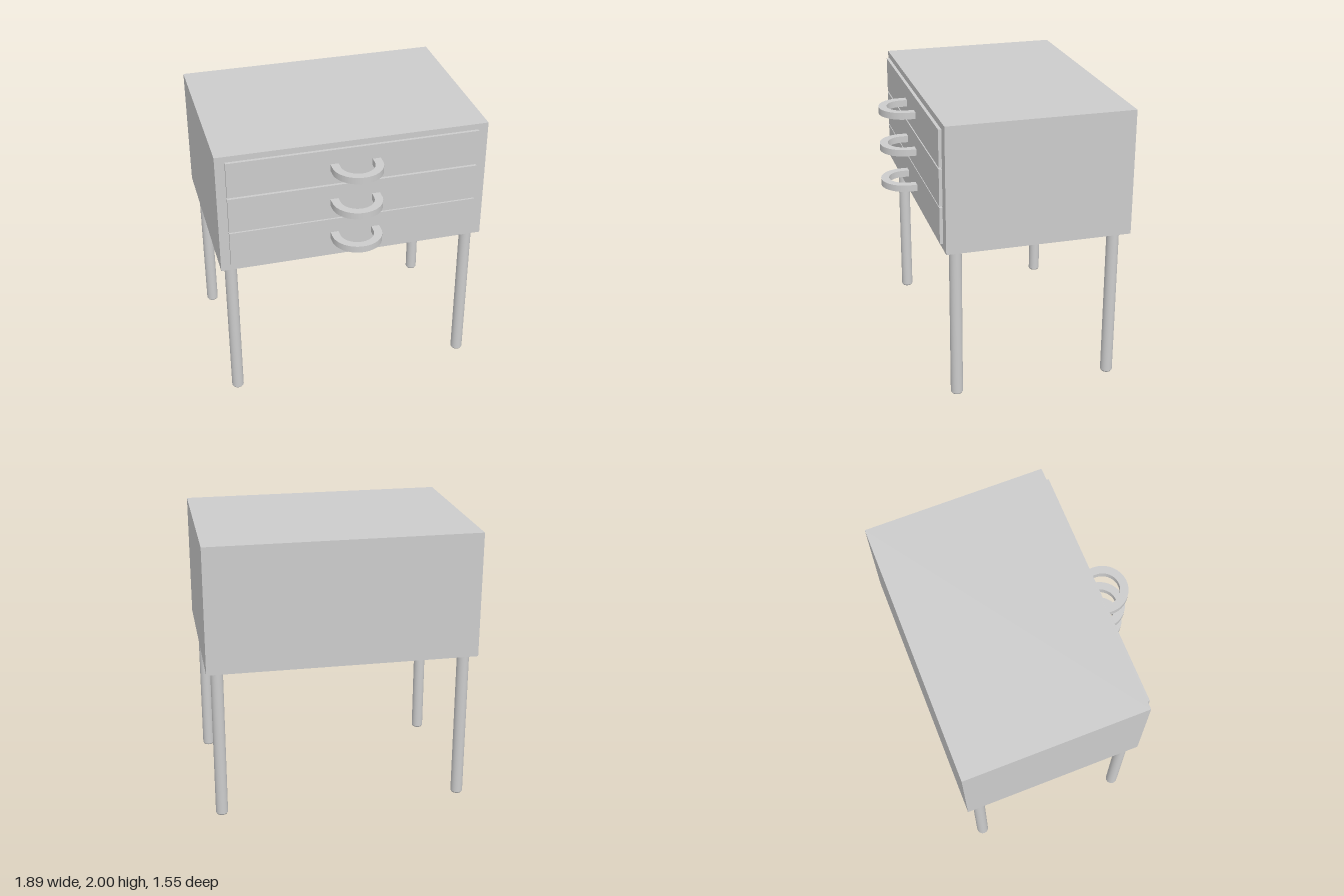
import * as THREE from 'three';
import { mergeGeometries } from 'three/addons/utils/BufferGeometryUtils.js';

const grey = new THREE.MeshStandardMaterial({ color: 0xcccccc });

function add(parent, geometry, name, x = 0, y = 0, z = 0) {
  const mesh = new THREE.Mesh(geometry, grey);
  mesh.name = name;
  mesh.position.set(x, y, z);
  parent.add(mesh);
  return mesh;
}

// Box without its +z face, optionally turned inside out
function openBox(w, h, d, z, inward = false) {
  const g = new THREE.BoxGeometry(w, h, d).translate(0, 0, z);
  let index = Array.from(g.index.array).filter((_, i) => i < 24 || i >= 30);
  if (inward) {
    index.reverse();
    const n = g.attributes.normal;
    for (let i = 0; i < n.count; i++) n.setXYZ(i, -n.getX(i), -n.getY(i), -n.getZ(i));
  }
  g.setIndex(index);
  return g;
}

function rect(target, w, h) {
  return target.moveTo(-w / 2, -h / 2).lineTo(w / 2, -h / 2)
    .lineTo(w / 2, h / 2).lineTo(-w / 2, h / 2).closePath();
}

// Hollow cabinet: outer shell, front rim and inner cavity
function cabinetGeometry(w, h, d, holeW, holeH, holeD) {
  const rim = rect(new THREE.Shape(), w, h);
  rim.holes.push(rect(new THREE.Path(), holeW, holeH));
  return mergeGeometries([
    openBox(w, h, d, -d / 2),
    openBox(holeW, holeH, holeD, -holeD / 2, true),
    new THREE.ShapeGeometry(rim),
  ]);
}

// Flat U-shaped pull, lying level and reaching towards +z
function handleGeometry(outer, inner, straight, thick) {
  const s = new THREE.Shape();
  s.moveTo(outer, 0).lineTo(outer, straight);
  s.absarc(0, straight, outer, 0, Math.PI, false);
  s.lineTo(-outer, 0).lineTo(-inner, 0).lineTo(-inner, straight);
  s.absarc(0, straight, inner, Math.PI, 0, true);
  s.lineTo(inner, 0);
  return new THREE.ExtrudeGeometry(s, { depth: thick, bevelEnabled: false, curveSegments: 24 })
    .rotateX(Math.PI / 2).translate(0, thick / 2, 0);
}

export function createModel() {
  const model = new THREE.Group();
  model.name = 'chestOfDrawers';

  const front = 0.525;
  add(model, cabinetGeometry(1.89, 0.89, 1.3, 1.69, 0.74, 1.26), 'cabinet', 0, 1.555, front);

  // Drawers: tray inside the cabinet, front panel and pull
  const handle = handleGeometry(0.175, 0.118, 0.05, 0.048);
  [1.29, 1.558, 1.83].forEach((y, i) => {
    const drawer = new THREE.Group();
    drawer.name = `drawer${i + 1}`;
    drawer.position.set(0, y, front);
    add(drawer, new THREE.BoxGeometry(1.66, 0.2, 1.2), 'drawerTray', 0, 0, -0.595);
    add(drawer, new THREE.BoxGeometry(1.75, 0.259, 0.022), 'drawerFront', -0.003, 0, 0.014);
    add(drawer, handle, 'drawerHandle', 0, 0, 0.025);
    model.add(drawer);
  });

  // Round legs with a chamfered foot
  const shaft = new THREE.CylinderGeometry(0.043, 0.043, 1.1, 32, 1, true).translate(0, 0.56, 0);
  const foot = new THREE.CylinderGeometry(0.043, 0.037, 0.01, 32).translate(0, 0.005, 0);
  const leg = mergeGeometries([shaft, foot]);
  for (const x of [-0.867, 0.867]) {
    for (const z of [-0.675, 0.445]) {
      add(model, leg, `${z > 0 ? 'front' : 'back'}${x > 0 ? 'Left' : 'Right'}Leg`, x, 0, z);
    }
  }
  return model;
}
